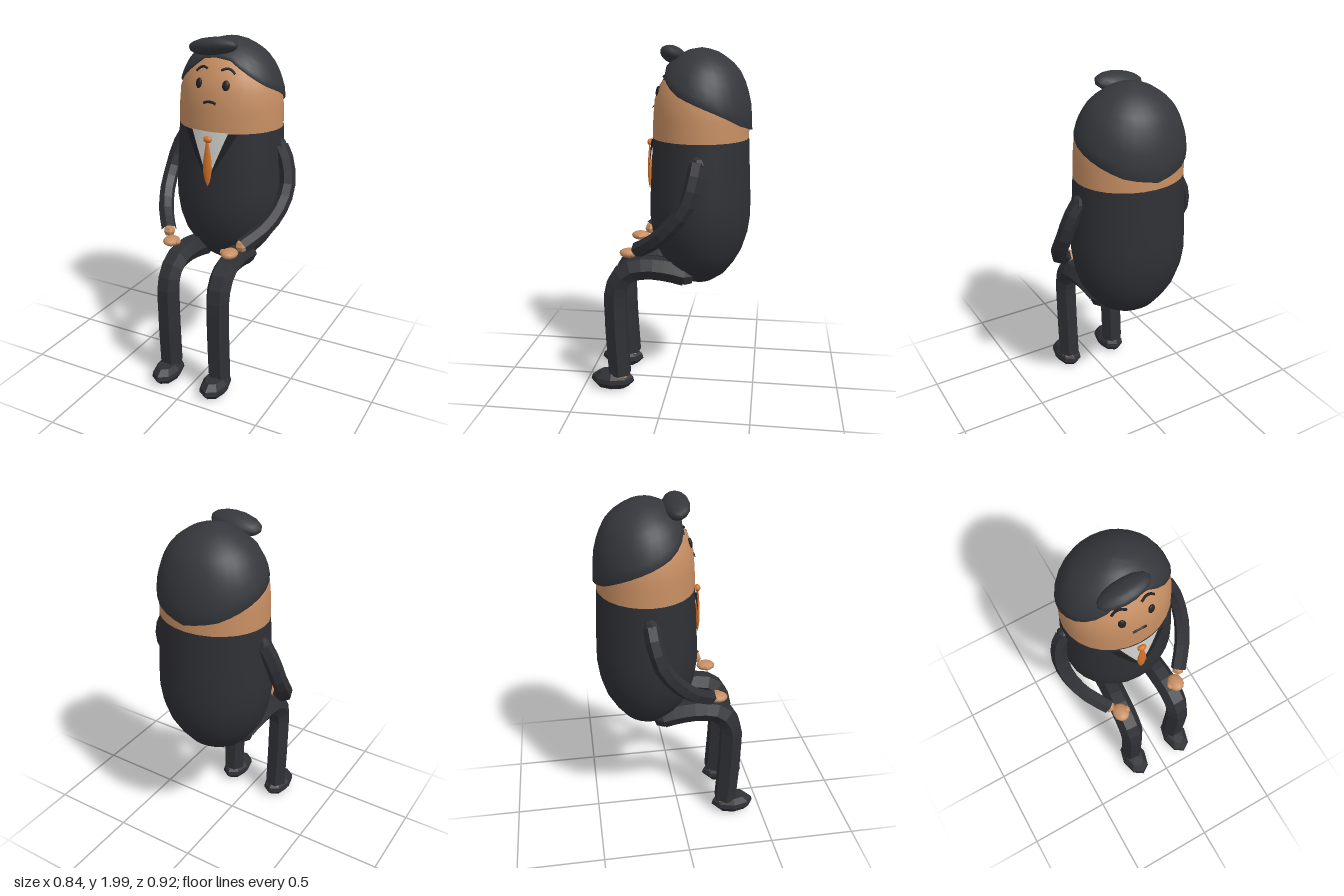
import * as THREE from 'three';
import { mergeVertices } from 'three/addons/utils/BufferGeometryUtils.js';

const CZ = -0.17, DEPTH = 0.88; // body axis and front-to-back squash
const mat = (name, color) => {
  const m = new THREE.MeshStandardMaterial({ color });
  m.name = name;
  return m;
};

// Radius and height pairs, bottom to top
const SUIT = [[0, 0.64], [0.09, 0.66], [0.17, 0.71], [0.23, 0.78], [0.275, 0.85], [0.31, 0.95],
  [0.325, 1.05], [0.324, 1.15], [0.316, 1.3], [0.306, 1.49]];
const HEAD = [[0.306, 1.49], [0.303, 1.6], [0.294, 1.7], [0.262, 1.78], [0.22, 1.84],
  [0.17, 1.89], [0.1, 1.935], [0, 1.96]];
const HAIR = [[0.318, 1.5], [0.314, 1.6], [0.304, 1.7], [0.275, 1.79], [0.235, 1.86],
  [0.19, 1.905], [0.12, 1.95], [0.07, 1.97], [0, 1.98]];
const BODY = [...SUIT, ...HEAD.slice(1)];

// Linear lookup in a table of [value, key] rows with rising keys
function lookup(table, key) {
  for (let i = 1; i < table.length; i++) {
    const [v0, k0] = table[i - 1], [v1, k1] = table[i];
    if (key <= k1) return v0 + (v1 - v0) * (key - k0) / (k1 - k0);
  }
  return table[table.length - 1][0];
}

// Point on the front of the body, lifted by a small offset
function onBody(x, y, lift = 0) {
  const r = lookup(BODY, y);
  return new THREE.Vector3(x, y, CZ + DEPTH * Math.sqrt(r * r - x * x) + lift);
}

// Surface from rows (top to bottom) and columns (left to right)
function grid(rows, cols, point) {
  const pos = [], idx = [];
  for (let i = 0; i <= rows; i++)
    for (let j = 0; j <= cols; j++) pos.push(...point(i / rows, j / cols).toArray());
  for (let i = 0; i < rows; i++)
    for (let j = 0; j < cols; j++) {
      const a = i * (cols + 1) + j, b = a + cols + 1;
      idx.push(a, b, b + 1, a, b + 1, a + 1);
    }
  let g = new THREE.BufferGeometry();
  g.setAttribute('position', new THREE.Float32BufferAttribute(pos, 3));
  g.setIndex(idx);
  g = mergeVertices(g, 1e-5);
  g.computeVertexNormals();
  return g;
}

function flat(g) {
  const f = g.index ? g.toNonIndexed() : g;
  f.computeVertexNormals();
  return f;
}

const lathe = (pts, n) => new THREE.LatheGeometry(pts.map(p => new THREE.Vector2(...p)), n);
const curve = pts => new THREE.CatmullRomCurve3(pts);

export function createModel() {
  const root = new THREE.Group();
  root.name = 'seatedFigure';
  const suit = mat('suit charcoal', 0x2f3035), hair = mat('hair charcoal', 0x35373c);
  const skin = mat('skin', 0xc68e62), shirt = mat('shirt white', 0xd2d2ce);
  const orange = mat('tie orange', 0xd8752c), dark = mat('feature black', 0x212125);

  const add = (name, geo, material, pos = [0, 0, 0], scale = [1, 1, 1], rot = [0, 0, 0]) => {
    const m = new THREE.Mesh(geo, material);
    m.name = name;
    m.position.set(...pos);
    m.scale.set(...scale);
    m.rotation.set(...rot);
    root.add(m);
    return m;
  };

  // Body and head share one rounded outline
  add('suitBody', lathe(SUIT, 28), suit, [0, 0, CZ], [1, 1, DEPTH]);
  add('head', lathe(HEAD, 28), skin, [0, 0, CZ], [1, 1, DEPTH]);

  // Hair cap: rim height drops from the forehead to the nape
  const RIM = [[1.885, 0], [1.875, 0.12], [1.8, 0.25], [1.74, 0.36], [1.69, 0.5],
    [1.635, 0.65], [1.57, 0.82], [1.535, 1]];
  add('hairCap', grid(11, 32, (u, v) => {
    const a = (v * 2 - 1) * Math.PI;
    const rim = lookup(RIM, Math.abs(a) / Math.PI);
    const t = Math.min(1, u * 1.1); // last row folds under the rim
    const y = 1.98 - (1.98 - rim) * Math.pow(t, 1.8);
    const r = lookup(HAIR, y) * (u > 0.95 ? 0.93 : 1);
    return new THREE.Vector3(r * Math.sin(a), y, CZ + r * Math.cos(a) * 0.9);
  }), hair);
  add('hairQuiff', new THREE.SphereGeometry(1, 14, 10), hair,
    [-0.032, 1.938, -0.008], [0.146, 0.048, 0.074], [-0.35, 0, 0.13]);

  // Shirt panel in the neck opening
  add('shirtPanel', grid(8, 8, (u, v) =>
    onBody((v * 2 - 1) * 0.113 * (1 - u), 1.497 - 0.275 * u, 0.006)), shirt);

  // Tie and knot
  add('tie', lathe([[0, 1.185], [0.015, 1.215], [0.028, 1.275], [0.025, 1.34], [0.015, 1.4], [0.007, 1.445]], 10),
    orange, [0, 0, 0.122], [1, 1, 0.45]);
  add('tieKnot', new THREE.SphereGeometry(1, 10, 8), orange, [0, 1.455, 0.118], [0.026, 0.019, 0.018]);

  // Mouth
  add('mouth', new THREE.TubeGeometry(curve([[-0.038, 1.65], [-0.015, 1.658], [0.015, 1.658], [0.038, 1.65]]
    .map(p => onBody(...p))), 10, 0.008, 6), dark);

  for (const s of [1, -1]) {
    const side = s > 0 ? 'left' : 'right';
    const path = pts => curve(pts.map(([x, y, z]) => new THREE.Vector3(s * x, y, z)));

    // Lapel strip beside the shirt
    add(side + 'Lapel', grid(8, 3, (u, v) => {
      const w = s > 0 ? v : 1 - v;
      const inner = 0.111 * (1 - u), outer = 0.162 - 0.157 * u;
      return onBody(s * (inner + (outer - inner) * w), 1.492 - 0.275 * u, 0.012);
    }), dark);

    // Eye and brow
    const eye = onBody(s * 0.082, 1.748);
    add(side + 'Eye', new THREE.SphereGeometry(1, 12, 8), dark,
      eye.toArray(), [0.021, 0.029, 0.012], [-0.2, s * 0.3, 0]);
    add(side + 'Brow', new THREE.TubeGeometry(curve([[0.04, 1.822], [0.07, 1.832], [0.095, 1.825], [0.118, 1.805]]
      .map(([x, y]) => onBody(s * x, y, 0.003))), 8, 0.007, 6), dark);

    // Arm, bowed outward and down to the knee
    add(side + 'Arm', flat(new THREE.TubeGeometry(path([[0.305, 1.385, -0.18], [0.35, 1.3, -0.168],
      [0.376, 1.17, -0.13], [0.368, 1.06, -0.05], [0.32, 0.96, 0.05], [0.238, 0.885, 0.155]]), 9, 0.045, 6)), suit);
    add(side + 'Shoulder', flat(new THREE.SphereGeometry(0.044, 6, 4)), suit, [s * 0.305, 1.385, -0.18]);
    add(side + 'Wrist', flat(new THREE.SphereGeometry(0.036, 6, 4)), skin, [s * 0.234, 0.884, 0.158]);
    add(side + 'Hand', new THREE.SphereGeometry(1, 12, 8), skin, [s * 0.187, 0.85, 0.213], [0.048, 0.027, 0.056]);
    add(side + 'Thumb', flat(new THREE.SphereGeometry(1, 6, 4)), skin,
      [s * 0.146, 0.852, 0.214], [0.018, 0.016, 0.024]);

    // Bent trouser leg
    add(side + 'Leg', flat(new THREE.TubeGeometry(path([[0.14, 0.722, -0.1], [0.145, 0.745, 0],
      [0.153, 0.755, 0.12], [0.159, 0.73, 0.23], [0.161, 0.64, 0.295], [0.161, 0.45, 0.302],
      [0.162, 0.09, 0.284]]), 16, 0.07, 6)), suit);
    add(side + 'Hip', flat(new THREE.SphereGeometry(0.066, 6, 4)), suit, [s * 0.14, 0.722, -0.1]);
    add(side + 'Ankle', new THREE.CylinderGeometry(0.056, 0.056, 0.03, 8), skin, [s * 0.162, 0.091, 0.284]);

    // Shoe with a pointed toe
    add(side + 'Shoe', flat(lathe([[0, -1], [0.72, -0.88], [1, -0.2], [0.95, 0.3], [0.65, 0.9], [0, 1]], 8)),
      suit, [s * 0.16, 0.053, 0.33], [0.08, 0.053, 0.13]);
  }
  return root;
}
